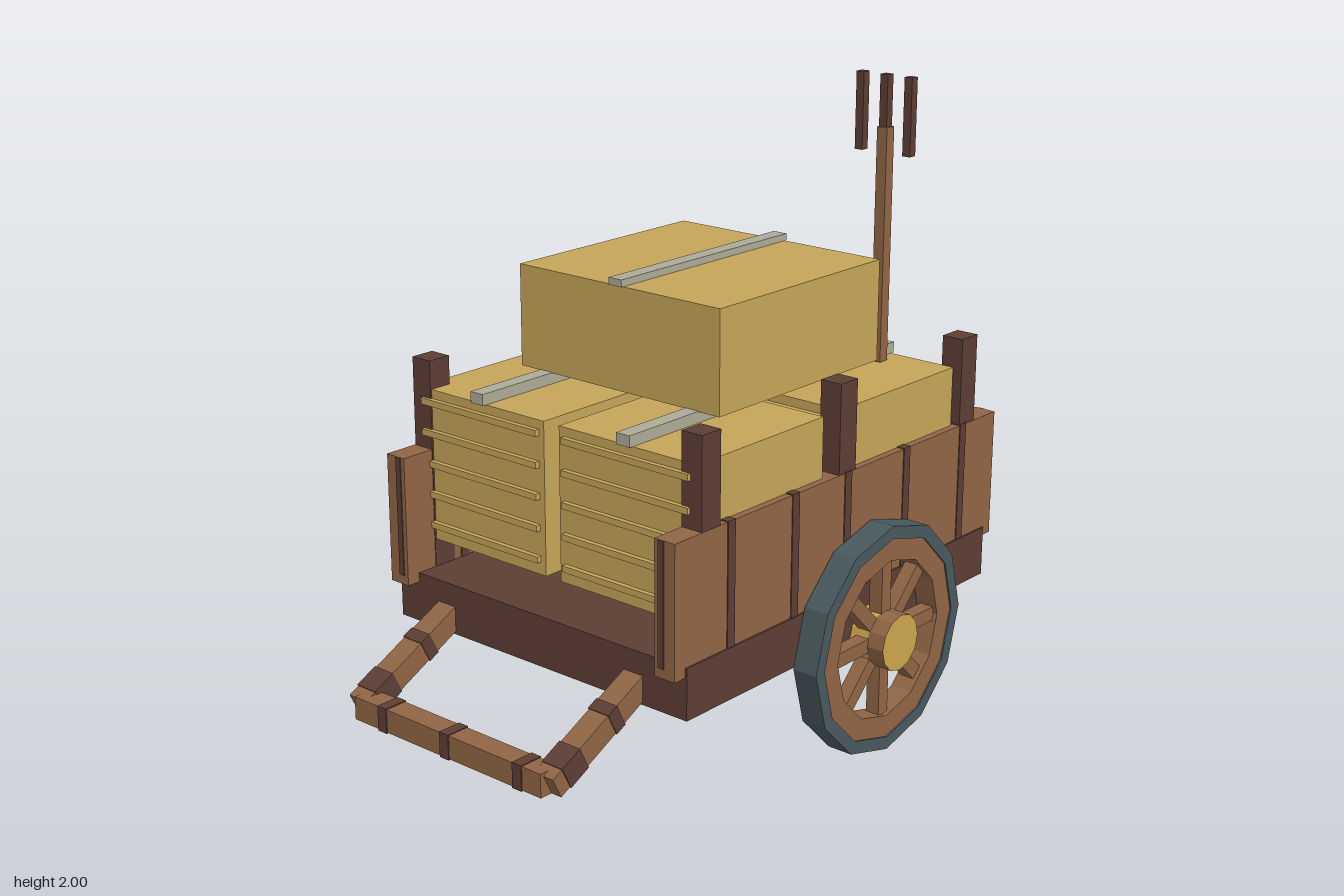
import * as THREE from 'three';

const mat = (name, color) => Object.assign(new THREE.MeshStandardMaterial({ color, flatShading: true }), { name });

export function createModel() {
  const root = new THREE.Group();
  root.name = 'loadedHandcart';
  const wood = mat('wood', 0x906545);
  const dark = mat('darkWood', 0x5c3e34);
  const straw = mat('crateWood', 0xc5a459);
  const steel = mat('tireSteel', 0x48595e);
  const strap = mat('strap', 0xacaa96);
  const brass = mat('brass', 0xcba64c);

  // Box given by its minimum and maximum on each axis
  const box = (name, m, x0, x1, y0, y1, z0, z1, parent = root) => {
    const mesh = new THREE.Mesh(new THREE.BoxGeometry(x1 - x0, y1 - y0, z1 - z0), m);
    mesh.position.set((x0 + x1) / 2, (y0 + y1) / 2, (z0 + z1) / 2);
    mesh.name = name;
    parent.add(mesh);
    return mesh;
  };
  const E = 0.003; // how far painted grain stands off the wood

  // Chassis bed
  box('chassis', dark, -0.58, 0.58, 0.37, 0.53, -0.9, 0.565);

  // Side boards with dark grain bands, and stakes
  for (const s of [-1, 1]) {
    const side = new THREE.Group();
    side.name = s > 0 ? 'leftSide' : 'rightSide';
    root.add(side);
    const mirrored = (name, m, x0, x1, ...r) =>
      box(name, m, Math.min(s * x0, s * x1), Math.max(s * x0, s * x1), ...r, side);
    mirrored('sideBoard', wood, 0.5, 0.574, 0.5, 0.91, -0.945, 0.61);
    for (const z of [0.37, 0.08, -0.17, -0.465, -0.765])
      mirrored('grain', dark, 0.5 - E, 0.574 + E, 0.53, 0.91 + E, z - 0.016, z + 0.016);
    for (const z of [-0.945, 0.61])
      mirrored('endGrain', dark, 0.515, 0.535, 0.53, 0.91, z - E, z + E);
    for (const z of [0.455, -0.168, -0.79])
      mirrored('stake', dark, 0.498, 0.572, 0.53, 1.19, z - 0.04, z + 0.04);
  }

  // Tailboard with grain
  box('tailboard', wood, -0.5, 0.5, 0.53, 0.93, -0.905, -0.83);
  for (const x of [-0.26, 0.3])
    box('tailGrain', dark, x - 0.016, x + 0.016, 0.53, 0.93 + E, -0.905 - E, -0.83 + E);
  for (const [y0, y1] of [[0.57, 0.7], [0.85, 0.93 + E]])
    box('tailKnot', dark, -0.022, 0.022, y0, y1, -0.905 - E, -0.83 + E);

  // Four lower crates with front slats and straps
  for (const s of [-1, 1])
    for (const [z0, z1] of [[-0.075, 0.49], [-0.735, -0.16]]) {
      const crate = new THREE.Group();
      crate.name = 'lowerCrate';
      root.add(crate);
      const c = s * 0.29;
      box('crateBody', straw, c - 0.26, c + 0.26, 0.62, 1.1, z0, z1, crate);
      for (let i = 0; i < 5; i++) {
        const y = 0.67 + i * 0.098;
        box('slat', straw, c - 0.24, c + 0.24, y - 0.01, y + 0.01, z1, z1 + 0.016, crate);
      }
      box('strap', strap, c - 0.025, c + 0.025, 1.1, 1.135, z0 - 0.012, z1 + 0.014, crate);
    }

  // Upper crate
  box('upperCrate', straw, -0.395, 0.392, 1.133, 1.453, -0.55, 0.207);
  box('upperStrap', strap, -0.025, 0.025, 1.453, 1.475, -0.557, 0.215);

  // Fork standing in the load
  box('forkHandle', wood, 0.312, 0.349, 0.9, 1.84, -0.664, -0.627);
  for (const x of [0.241, 0.33, 0.419])
    box('forkTine', dark, x - 0.014, x + 0.014, 1.76, 2, -0.659, -0.631);

  // Pull handle: two sloping arms and a crossbar
  const slope = Math.atan2(0.18, 0.36);
  for (const s of [-1, 1]) {
    const arm = new THREE.Group();
    arm.name = 'pullArm';
    arm.position.set(s * 0.38, 0.337, 0.73);
    arm.rotation.x = slope;
    root.add(arm);
    box('armBar', wood, -0.036, 0.036, -0.036, 0.036, -0.22, 0.21, arm);
    for (const [z0, z1] of [[-0.08, -0.04], [0.09, 0.17]])
      box('armGrain', dark, -0.036 - E, 0.036 + E, -0.036 - E, 0.036 + E, z0, z1, arm);
  }
  box('crossbar', wood, -0.38, 0.38, 0.212, 0.285, 0.872, 0.945);
  for (const x of [-0.26, 0, 0.29])
    box('crossbarGrain', dark, x - 0.018, x + 0.018, 0.212 - E, 0.285 + E, 0.872 - E, 0.945 + E);

  // Twelve-sided wheels, built around z and turned to face sideways
  const polygon = (r) => Array.from({ length: 12 }, (_, i) =>
    new THREE.Vector2(r * Math.cos(i * Math.PI / 6), r * Math.sin(i * Math.PI / 6)));
  const ring = (name, m, outer, inner, depth, parent) => {
    const shape = new THREE.Shape(polygon(outer));
    shape.holes.push(new THREE.Path(polygon(inner).reverse()));
    const g = new THREE.ExtrudeGeometry(shape, { depth, bevelEnabled: false });
    g.translate(0, 0, -depth / 2);
    const mesh = new THREE.Mesh(g, m);
    mesh.name = name;
    parent.add(mesh);
  };
  for (const s of [-1, 1]) {
    const wheel = new THREE.Group();
    wheel.name = s > 0 ? 'leftWheel' : 'rightWheel';
    wheel.position.set(s * 0.624, 0.366, -0.28);
    wheel.rotation.y = s * Math.PI / 2;
    root.add(wheel);
    ring('tire', steel, 0.366, 0.325, 0.084, wheel);
    ring('rim', wood, 0.326, 0.255, 0.074, wheel);
    for (let i = 0; i < 8; i++) {
      const spoke = box('spoke', wood, -0.023, 0.023, 0.06, 0.27, -0.023, 0.023, wheel);
      spoke.position.applyAxisAngle(new THREE.Vector3(0, 0, 1), i * Math.PI / 4);
      spoke.rotation.z = i * Math.PI / 4;
    }
    // Hub: brass inner half and end face, wooden outer half
    const hub = (name, m, z0, z1) => {
      const g = new THREE.CylinderGeometry(0.09, 0.09, z1 - z0, 12).rotateX(Math.PI / 2);
      const mesh = new THREE.Mesh(g, m);
      mesh.position.z = (z0 + z1) / 2;
      mesh.name = name;
      wheel.add(mesh);
    };
    hub('hubInner', brass, -0.08, 0.02);
    hub('hubOuter', [wood, brass, brass], 0.02, 0.08);
  }
  return root;
}
